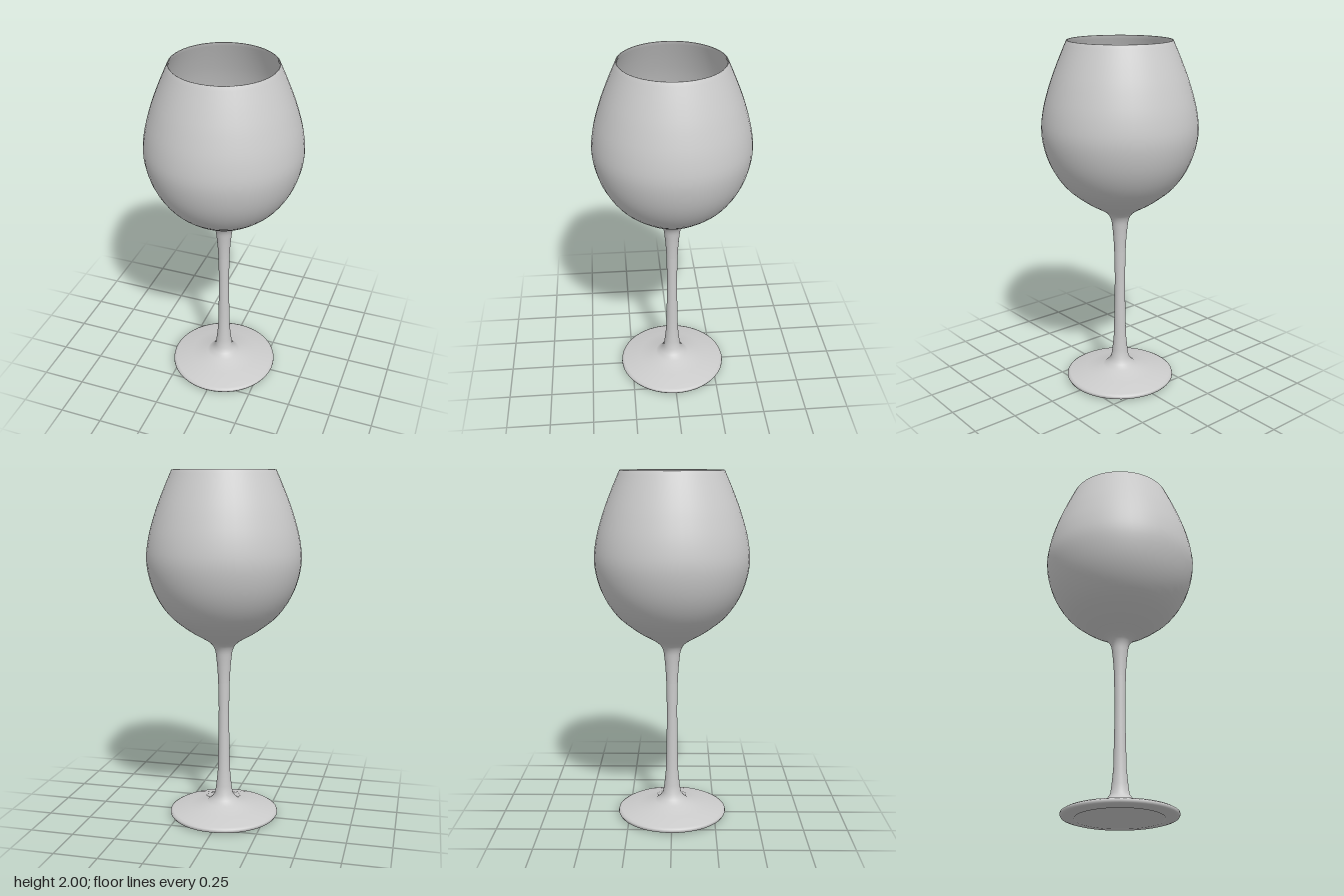
import * as THREE from 'three';

const SIDES = 48;
const material = new THREE.MeshStandardMaterial({ color: 0xcccccc, side: THREE.DoubleSide });

const toPoints = (pairs) => pairs.map(([r, y]) => new THREE.Vector2(r, y));

// Revolves a profile of [radius, height] points around the y axis
function turned(name, points) {
  const mesh = new THREE.Mesh(new THREE.LatheGeometry(points, SIDES), material);
  mesh.name = name;
  return mesh;
}

export function createModel() {
  const glass = new THREE.Group();
  glass.name = 'wineGlass';

  // Flat underside and undercut lip
  glass.add(turned('footUnderside', toPoints([[0, 0.005], [0.235, 0.005], [0.24, 0]])));

  // Foot sweeping up into the stem
  glass.add(turned('foot', toPoints([
    [0.24, 0], [0.295, 0.004], [0.311, 0.009], [0.316, 0.018], [0.314, 0.028], [0.3, 0.036],
    [0.2, 0.057], [0.1, 0.078], [0.072, 0.102], [0.052, 0.13], [0.045, 0.18], [0.036, 0.27], [0.034, 0.36],
  ])));

  // Slender stem
  glass.add(turned('stem', toPoints([[0.034, 0.36], [0.031, 0.5], [0.03, 0.65], [0.033, 0.8]])));

  // Bowl: stem flare and outer wall, over the rim, then back down the inner wall
  const outer = new THREE.SplineCurve(toPoints([
    [0.033, 0.8], [0.036, 0.86], [0.043, 0.94], [0.054, 1.0], [0.09, 1.043], [0.2, 1.109],
    [0.315, 1.205], [0.395, 1.335], [0.433, 1.485], [0.423, 1.62], [0.385, 1.76], [0.34, 1.88], [0.289, 1.998],
  ])).getPoints(48);
  const inner = new THREE.SplineCurve(toPoints([
    [0.283, 1.998], [0.334, 1.88], [0.379, 1.76], [0.417, 1.62], [0.427, 1.485],
    [0.389, 1.338], [0.309, 1.211], [0.196, 1.117], [0.09, 1.061], [0, 1.045],
  ])).getPoints(36);
  glass.add(turned('bowl', [...outer, new THREE.Vector2(0.286, 2), ...inner]));

  return glass;
}
